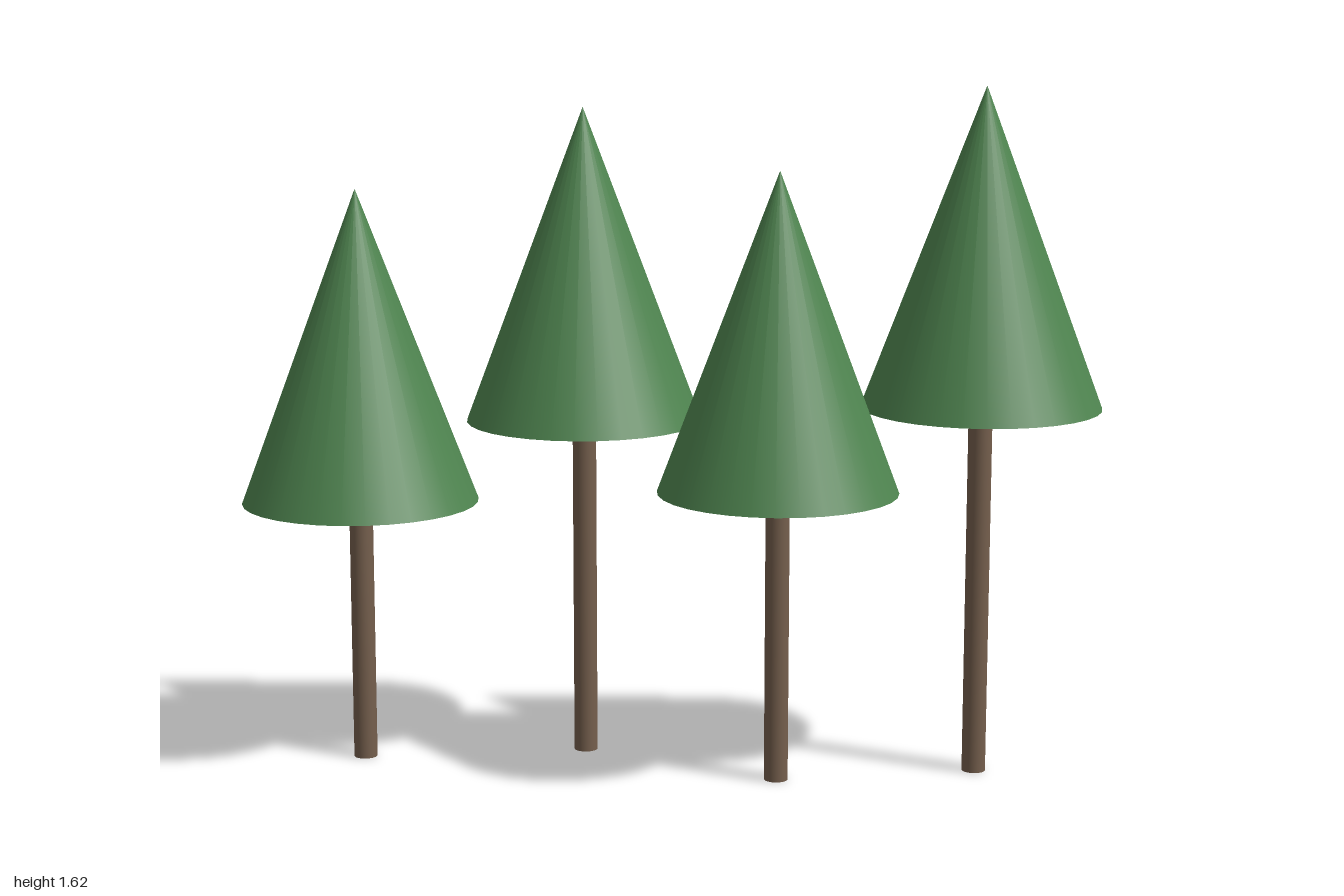
import * as THREE from 'three';

const RADIUS = 0.28, CONE_HEIGHT = 0.743, TRUNK_RADIUS = 0.028;

// x, z and trunk height of each tree
const TREES = [
  [-0.72, 0.125, 0.63],
  [-0.22, -0.0625, 0.816],
  [0.28, 0.0625, 0.69],
  [0.72, -0.125, 0.877],
];

export function createModel() {
  const model = new THREE.Group();
  model.name = 'treeRow';

  const foliageGreen = new THREE.MeshStandardMaterial({ color: 0x4f8550 });
  foliageGreen.name = 'foliage green';
  const barkBrown = new THREE.MeshStandardMaterial({ color: 0x755f4d });
  barkBrown.name = 'bark brown';

  const coneGeometry = new THREE.ConeGeometry(RADIUS, CONE_HEIGHT, 32);

  TREES.forEach(([x, z, height], i) => {
    const tree = new THREE.Group();
    tree.name = `tree${i + 1}`;
    tree.position.set(x, 0, z);

    // Slim straight trunk
    const trunk = new THREE.Mesh(
      new THREE.CylinderGeometry(TRUNK_RADIUS, TRUNK_RADIUS, height, 24), barkBrown);
    trunk.name = 'trunk';
    trunk.position.y = height / 2;

    // Conical crown resting on the trunk
    const crown = new THREE.Mesh(coneGeometry, foliageGreen);
    crown.name = 'crown';
    crown.position.y = height + CONE_HEIGHT / 2;

    tree.add(trunk, crown);
    model.add(tree);
  });

  return model;
}
